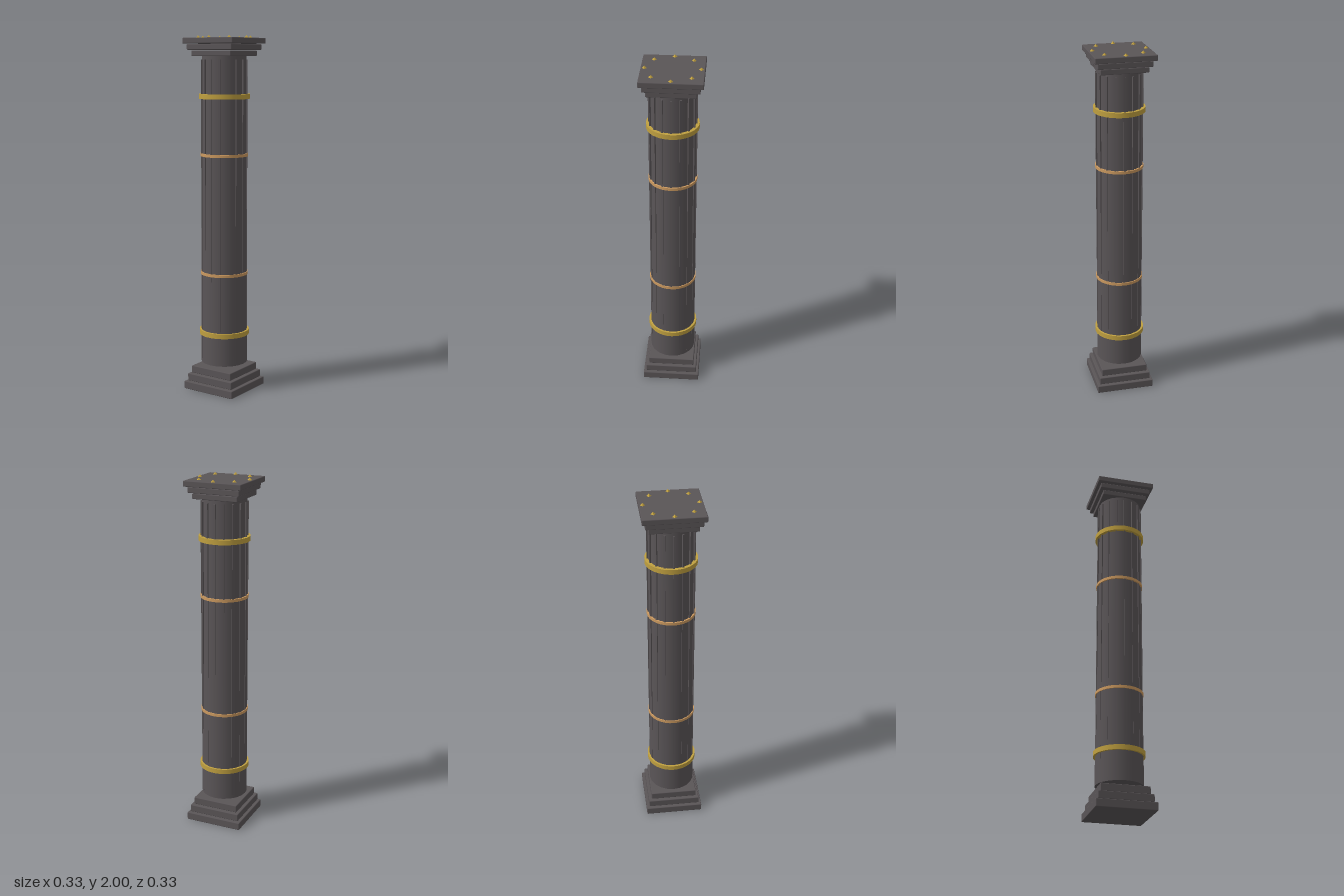
import * as THREE from 'three';
import { RoundedBoxGeometry } from 'three/addons/geometries/RoundedBoxGeometry.js';

const stone = new THREE.MeshStandardMaterial({ color: 0x5a5557 });
const gold = new THREE.MeshStandardMaterial({ color: 0xc0a040 });
const copper = new THREE.MeshStandardMaterial({ color: 0xcc9a60 });
const studGold = gold.clone();
studGold.flatShading = true;

export function createModel() {
  const model = new THREE.Group();
  model.name = 'column';

  const add = (parent, name, geometry, material, x, y, z) => {
    const mesh = new THREE.Mesh(geometry, material);
    mesh.name = name;
    mesh.position.set(x, y, z);
    parent.add(mesh);
    return mesh;
  };
  const group = (name) => {
    const g = new THREE.Group();
    g.name = name;
    model.add(g);
    return g;
  };

  // Stepped square slabs: [half width, bottom, top]
  const slabs = (name, steps) => {
    const g = group(name);
    for (const [half, y0, y1] of steps) {
      const box = new RoundedBoxGeometry(half * 2, y1 - y0, half * 2, 1, 0.004);
      add(g, name + 'Slab', box, stone, 0, (y0 + y1) / 2, 0);
    }
  };
  slabs('base', [[0.165, 0.003, 0.047], [0.15, 0.05, 0.092], [0.134, 0.095, 0.137]]);
  slabs('capital', [[0.13, 1.888, 1.918], [0.148, 1.922, 1.953], [0.165, 1.956, 1.987]]);

  // Tapered shaft, floating just above the base
  const shaft = group('shaft');
  add(shaft, 'shaftCore', new THREE.CylinderGeometry(0.122, 0.131, 1.73, 20), stone, 0, 1.025, 0);

  // Straight ribs that gradually sink into the wider lower shaft
  const ribGeometry = new THREE.BoxGeometry(0.01, 1.69, 0.016);
  for (let i = 0; i < 16; i++) {
    const a = (i / 16) * Math.PI * 2;
    const rib = add(shaft, 'shaftRib', ribGeometry, stone, Math.sin(a) * 0.1215, 1.025, Math.cos(a) * 0.1215);
    rib.rotation.y = a;
  }

  // Wide gold bands and narrow copper rings
  const bands = group('bands');
  for (const y of [0.337, 1.67]) {
    add(bands, 'goldBand', new THREE.CylinderGeometry(0.141, 0.141, 0.027, 32), gold, 0, y, 0);
  }
  for (const y of [0.68, 1.348]) {
    add(bands, 'copperRing', new THREE.CylinderGeometry(0.133, 0.133, 0.016, 32), copper, 0, y, 0);
  }

  // Ring of pointed studs on top
  const studs = group('studs');
  const studGeometry = new THREE.OctahedronGeometry(0.013);
  for (let i = 0; i < 8; i++) {
    const a = (i / 8) * Math.PI * 2;
    add(studs, 'stud', studGeometry, studGold, Math.sin(a) * 0.145, 1.987, Math.cos(a) * 0.145);
  }
  return model;
}
